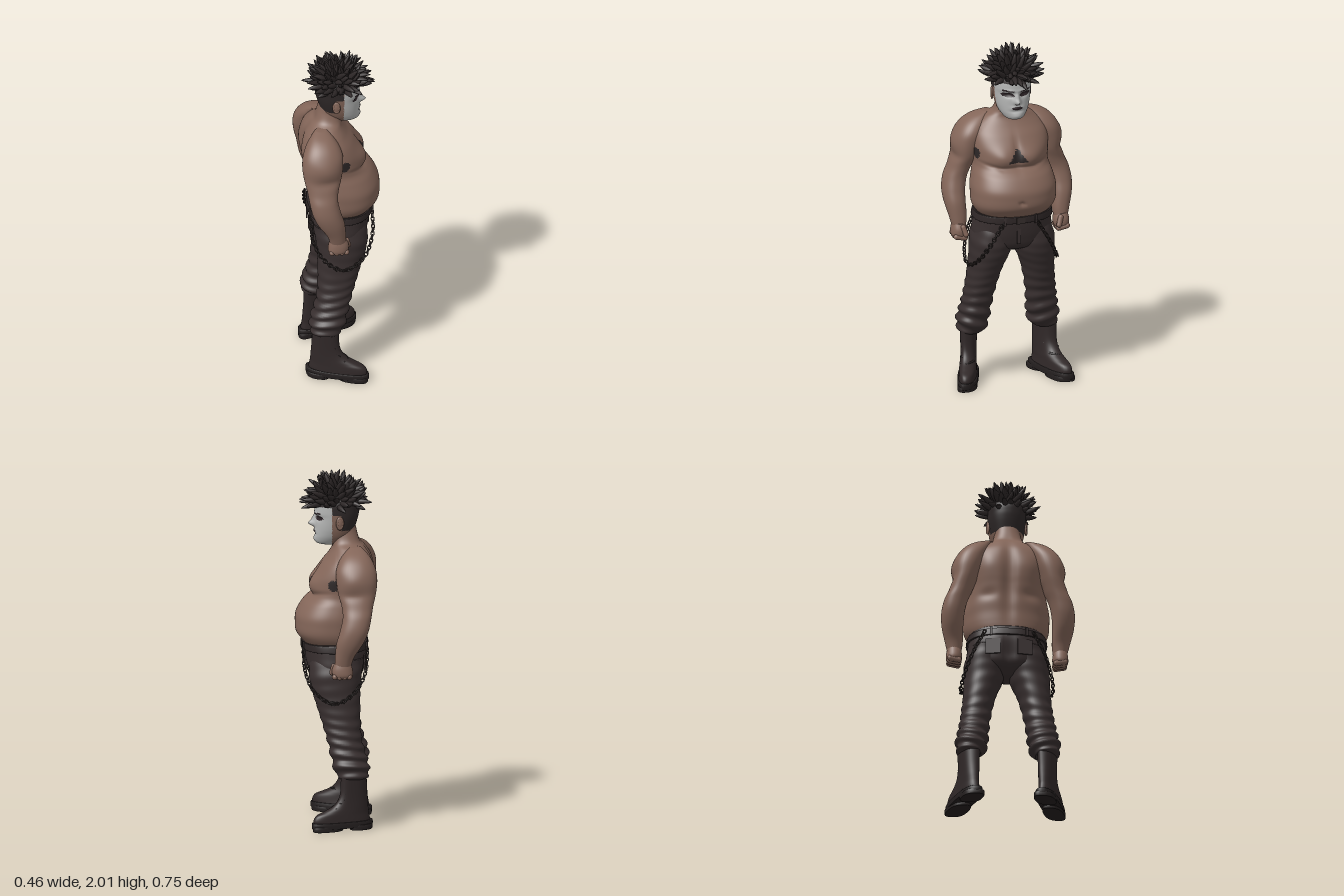
import * as THREE from 'three';
import { mergeGeometries } from 'three/addons/utils/BufferGeometryUtils.js';

const mat = (name, color) => { const m = new THREE.MeshStandardMaterial({ color }); m.name = name; return m; };
const M = {
  skin: mat('skin', 0x846659), face: mat('white face paint', 0xb4b5b4), paint: mat('dark paint', 0x2a2124),
  hair: mat('hair', 0x2d2727), trousers: mat('trousers', 0x382f2f), leather: mat('boot leather', 0x302828),
  sole: mat('sole', 0x241f1f), chain: mat('chain', 0x342c2a),
};
const bump = (...t) => Math.exp(-t.reduce((s, v) => s + v * v, 0));
let seed = 7;
const rnd = () => (seed = (seed * 16807) % 2147483647) / 2147483647;

// Smooth body through rows of [y, xBack, xFront, zMin, zMax]; pick() sorts faces into material groups
function loft(rows, { n = 40, steps = 6, p = 2.2, deform, pick } = {}) {
  const pos = [], tris = [], last = rows.length - 1, count = last * steps + 1;
  const at = (i, k) => rows[Math.min(last, Math.max(0, i))][k];
  const spow = (v) => Math.sign(v) * Math.abs(v) ** (2 / p);
  const v = new THREE.Vector3();
  for (let i = 0; i < count; i++) {
    const s = Math.min(last - 1, Math.floor(i / steps)), t = i / steps - s;
    const [y, xb, xf, z0, z1] = [0, 1, 2, 3, 4].map((k) => {
      const a = at(s - 1, k), b = at(s, k), c = at(s + 1, k), d = at(s + 2, k);
      return b + 0.5 * t * (c - a + t * (2 * a - 5 * b + 4 * c - d + t * (3 * (b - c) + d - a)));
    });
    for (let j = 0; j < n; j++) {
      const a = (j / n) * Math.PI * 2;
      v.set((xb + xf) / 2 + (xf - xb) / 2 * spow(Math.cos(a)), y, (z0 + z1) / 2 + (z1 - z0) / 2 * spow(Math.sin(a)));
      if (deform) deform(v, a);
      pos.push(v.x, v.y, v.z);
    }
  }
  for (let i = 0; i < count - 1; i++) for (let j = 0; j < n; j++) {
    const k = (j + 1) % n, a = i * n + j, b = a + n, c = (i + 1) * n + k, d = i * n + k;
    tris.push([a, b, c], [a, c, d]);
  }
  for (const i of [0, count - 1]) { // end caps
    const m = pos.length / 3, c = [0, 0, 0];
    for (let j = 0; j < n; j++) for (let q = 0; q < 3; q++) c[q] += pos[(i * n + j) * 3 + q] / n;
    pos.push(...c);
    for (let j = 0; j < n; j++) { const a = i * n + j, b = i * n + (j + 1) % n; tris.push(i ? [m, b, a] : [m, a, b]); }
  }
  const g = new THREE.BufferGeometry(), bins = [];
  for (const t of tris) {
    const c = [0, 1, 2].map((q) => (pos[t[0] * 3 + q] + pos[t[1] * 3 + q] + pos[t[2] * 3 + q]) / 3);
    (bins[pick ? pick(...c) : 0] ??= []).push(...t);
  }
  let start = 0;
  if (pick) bins.forEach((b, i) => { g.addGroup(start, b.length, i); start += b.length; });
  g.setIndex(bins.flat());
  g.setAttribute('position', new THREE.Float32BufferAttribute(pos, 3));
  g.computeVertexNormals();
  return g;
}

function mirror(geo) {
  const g = geo.clone(), ix = g.index.array;
  for (const name of ['position', 'normal']) {
    const a = g.attributes[name];
    for (let i = 0; i < a.count; i++) a.setZ(i, -a.getZ(i));
  }
  for (let i = 0; i < ix.length; i += 3) [ix[i], ix[i + 1]] = [ix[i + 1], ix[i]];
  return g;
}

export function createModel() {
  const root = new THREE.Group();
  const add = (name, geo, material) => { const m = new THREE.Mesh(geo, material); m.name = name; root.add(m); return m; };
  const pair = (name, geo, material) => { add('left ' + name, mirror(geo), material); add('right ' + name, geo, material); };
  const sym = (rows) => rows.map(([y, b, f, h]) => [y, b, f, -h, h]);

  // Torso and neck, with chest and armpit hair
  add('torso', loft(sym([
    [1.02, -.15, .165, .19], [1.06, -.16, .2, .222], [1.1, -.165, .226, .238], [1.15, -.17, .23, .241],
    [1.2, -.18, .224, .24], [1.26, -.19, .19, .226], [1.31, -.2, .143, .213], [1.36, -.21, .135, .215],
    [1.42, -.215, .12, .22], [1.48, -.21, .085, .215], [1.53, -.195, .045, .19], [1.575, -.165, .02, .14],
    [1.605, -.138, .022, .095], [1.65, -.122, .03, .076], [1.7, -.11, .03, .07],
  ]), {
    n: 112, steps: 7, p: 2.25,
    deform(v) {
      const az = Math.abs(v.z), y = v.y;
      if (v.x > 0) {
        v.x += .024 * bump((y - 1.375) / .05, (az - .085) / .07) - .012 * bump(v.z / .015, (y - 1.4) / .07);
        v.x -= .014 * bump((y - 1.312 - .25 * Math.max(0, az - .09)) / .012, az / .2);
        v.x -= .016 * bump(v.z / .012, (y - 1.13) / .012);
      } else {
        v.x += .026 * bump(v.z / .035, (y - 1.33) / .2) + .01 * bump((az - .12) / .05, (y - 1.25) / .03);
        v.x -= .012 * bump((az - .12) / .06, (y - 1.42) / .08);
      }
    },
    pick: (x, y, z) => (x > .05 && y > 1.345 && Math.abs(z) < .055 * (1.428 - y) / .08)
      || (Math.abs(z) > .12 && Math.hypot((x - .015) / .03, (y - 1.385) / .032) < 1) ? 1 : 0,
  }), [M.skin, M.hair]);

  // Arms
  pair('arm', loft([
    [.94, -.08, .01, .258, .335], [1, -.1, .008, .25, .35], [1.08, -.15, 0, .25, .37], [1.15, -.18, -.02, .245, .375],
    [1.22, -.195, -.035, .23, .361], [1.28, -.205, -.03, .205, .335], [1.35, -.221, -.01, .18, .316],
    [1.42, -.229, 0, .15, .313], [1.48, -.222, 0, .13, .296], [1.53, -.2, -.02, .11, .262],
    [1.567, -.17, -.05, .1, .21], [1.59, -.14, -.08, .09, .14],
  ], {
    n: 40, deform(v) {
      v.z += .008 * bump((v.y - 1.43) / .05, (v.x + .1) / .06) - .008 * bump((v.y - 1.345) / .025, (v.x + .08) / .08);
    },
  }), M.skin);

  // Fists: palm, four curled fingers and a thumb
  const fist = [loft([[.875, -.075, .01, .27, .325], [.895, -.092, .022, .256, .342], [.93, -.09, .024, .254, .342], [.965, -.08, .01, .262, .335]], { n: 24 })];
  const finger = (r, len, x, y, z, rx, rz) => {
    const g = new THREE.CapsuleGeometry(r, len, 4, 10).rotateX(rx).rotateZ(rz).translate(x, y, z);
    g.deleteAttribute('uv');
    fist.push(g);
  };
  for (let i = 0; i < 4; i++) finger(.0165, .05, -.072 + i * .027, .886 - .003 * Math.sin(i), .298, Math.PI / 2 - .2, 0);
  finger(.015, .045, .02, .925, .278, .3, .25);
  pair('fist', mergeGeometries(fist), M.skin);

  // Head with painted face: 0 skin, 1 face, 2 hair, 3 dark paint
  add('head', loft(sym([
    [1.588, -.01, .09, .035], [1.6, -.04, .112, .056], [1.63, -.08, .119, .078], [1.665, -.1, .117, .092],
    [1.7, -.112, .115, .1], [1.745, -.125, .112, .106], [1.785, -.132, .119, .108], [1.83, -.13, .11, .106],
    [1.87, -.1, .085, .085], [1.895, -.05, .04, .045],
  ]), {
    n: 120, steps: 8, p: 2.25,
    deform(v) {
      if (v.x < .02) return;
      const az = Math.abs(v.z), y = v.y;
      v.x += .036 * bump(az / .016, (y - 1.703) / .016) + .022 * bump(az / .013, (y - 1.732) / .024);
      v.x -= .014 * bump((az - .045) / .024, (y - 1.742) / .014);
      v.x += .008 * bump((az - .04) / .04, (y - 1.766) / .01) + .009 * bump(az / .028, (y - 1.665) / .011);
      v.x += .008 * bump(az / .03, (y - 1.615) / .016) - .006 * bump(az / .035, (y - 1.645) / .008);
    },
    pick(x, y, z) {
      const az = Math.abs(z);
      if (y > 1.81 || (x < .02 && y > 1.765) || (x < -.03 && y > 1.675)) return 2;
      if (x < .022) return 0;
      if (Math.hypot((az - .05) / .034, (y - 1.742 - .1 * (az - .05)) / .014) < 1) return 3; // eyes
      if (Math.abs(y - 1.767 - .15 * (az - .05)) < .005 && az > .018 && az < .08) return 3; // brows
      return Math.hypot(z / .031, (y - 1.664) / .01) < 1 || (Math.abs(az - .008) < .004 && Math.abs(y - 1.69) < .003) ? 3 : 1;
    },
  }), [M.skin, M.face, M.hair, M.paint]);
  const ear = new THREE.TorusGeometry(.7, .35, 8, 18).scale(.022, .038, .02);
  const lobe = new THREE.SphereGeometry(1, 14, 10).scale(.018, .032, .009);
  pair('ear', mergeGeometries([ear, lobe]).rotateY(-.25).translate(-.022, 1.722, .107), M.skin);

  // Spiky locks spread over a dome
  const locks = [], up = new THREE.Vector3(0, 1, 0), N = 105;
  const profile = [[.012, -.02], [.0165, .02], [.0165, .05], [.012, .08], [.006, .1], [0, .11]].map((q) => new THREE.Vector2(...q));
  for (let i = 0; i < N; i++) {
    const h = 1 - 1.14 * (i + .3) / N, a = i * 2.39996, r = Math.sqrt(1 - h * h);
    const g = new THREE.LatheGeometry(profile, 8), P = g.attributes.position, bend = (rnd() - .5) * 5, len = .82 + rnd() * .3;
    for (let k = 0; k < P.count; k++) { const y = P.getY(k); P.setXYZ(k, P.getX(k) + bend * y * y, y * len, P.getZ(k) + bend * .5 * y * y); }
    const dir = new THREE.Vector3(r * Math.cos(a), h, r * Math.sin(a));
    const base = new THREE.Vector3(dir.x * .088, 1.825 + dir.y * .068, dir.z * .075);
    dir.add(new THREE.Vector3((rnd() - .5) * .4, .12 + (rnd() - .5) * .3, (rnd() - .5) * .4)).normalize();
    g.applyQuaternion(new THREE.Quaternion().setFromUnitVectors(up, dir)).translate(base.x, base.y, base.z);
    g.computeVertexNormals();
    locks.push(g);
  }
  add('hair locks', mergeGeometries(locks), M.hair);

  // Trousers: seat and two creased legs
  const seat = sym([
    [.8, -.07, .06, .07], [.84, -.14, .135, .19], [.9, -.16, .16, .226], [.97, -.172, .174, .221], [1.03, -.167, .18, .214], [1.06, -.16, .182, .212]]);
  add('trouser seat', loft(seat, { n: 56, p: 2.3, deform(v) { if (v.x < 0) v.x += .018 * bump(v.z / .025, (v.y - .9) / .09); } }), M.trousers);
  pair('trouser leg', loft([
    [.285, -.155, -.025, .15, .262], [.305, -.18, 0, .13, .284], [.36, -.183, .018, .115, .292], [.41, -.17, .03, .11, .283],
    [.5, -.145, .05, .1, .268], [.6, -.135, .08, .082, .254], [.7, -.135, .112, .056, .245],
    [.8, -.135, .143, .016, .242], [.88, -.145, .152, .004, .238], [.96, -.15, .14, .01, .212],
  ], {
    n: 48, steps: 10, deform(v, a) {
      const k = .0075 * Math.max(.15, Math.min(1, (.72 - v.y) * 3)) * Math.sin(v.y * 95 + 2.2 * Math.sin(a + v.y * 9));
      v.x += k * Math.cos(a); v.z += k * Math.sin(a);
    },
  }), M.trousers);

  // Belt, buckle, belt loops, fly and pocket flaps
  add('belt', loft(sym([[1, -.178, .184, .225], [1.004, -.181, .189, .228], [1.036, -.177, .191, .223], [1.04, -.172, .187, .219]]), { n: 64, p: 2.3 }), M.leather);
  const box = (w, h, d, x, y, z, ry = 0) => new THREE.BoxGeometry(w, h, d).rotateY(ry).translate(x, y, z);
  add('buckle', box(.012, .04, .05, .19, 1.02, 0), M.chain);
  add('fly', box(.012, .12, .02, .167, .935, .006), M.trousers);
  pair('belt loops', mergeGeometries([box(.012, .052, .014, .182, 1.02, .09, -.2), box(.012, .052, .014, -.172, 1.02, .1, .2)]), M.trousers);
  pair('back pocket', box(.008, .09, .085, -.164, .93, .09, .15), M.trousers);

  // Hanging chains
  const curve = new THREE.CatmullRomCurve3([
    [.18, 1, .1], [.176, .9, .16], [.12, .78, .225], [.01, .722, .258], [-.09, .77, .248], [-.16, .88, .205], [-.175, 1.01, .14],
  ].map((q) => new THREE.Vector3(...q)));
  const links = [];
  for (let i = 0; i < 40; i++) {
    const g = new THREE.TorusGeometry(.0095, .0035, 6, 12).scale(1.35, 1, 1).rotateX(i % 2 ? Math.PI / 2 : 0);
    const q = new THREE.Quaternion().setFromUnitVectors(new THREE.Vector3(1, 0, 0), curve.getTangentAt(i / 39));
    const c = curve.getPointAt(i / 39);
    links.push(g.applyQuaternion(q).translate(c.x, c.y, c.z));
  }
  pair('chain', mergeGeometries(links), M.chain);

  // Boots, toes turned out
  const turn = (v) => { v.z += (v.x + .1) * .34; };
  pair('boot', loft([
    [.04, -.19, .126, .165, .275], [.065, -.187, .128, .168, .274], [.09, -.182, .112, .17, .272], [.11, -.18, .07, .171, .27],
    [.135, -.178, .022, .173, .268], [.17, -.175, -.008, .173, .267], [.22, -.172, -.022, .172, .268], [.31, -.17, -.025, .168, .272],
  ], { n: 40, p: 2.4, deform: turn }), M.leather);
  const slab = (y0, y1, x0, x1, z0, z1) => loft([[y0, x0 + .004, x1 - .004, z0, z1], [y0 + .004, x0, x1, z0, z1], [y1 - .004, x0, x1, z0, z1], [y1, x0 + .006, x1 - .006, z0 + .006, z1 - .006]], { n: 40, steps: 2, p: 2.7, deform: turn });
  pair('sole', mergeGeometries([
    slab(.016, .05, -.204, .137, .158, .281), slab(0, .03, -.203, -.075, .16, .278), slab(0, .03, -.04, .132, .162, .278)]), M.sole);

  // Laces across the boot front
  const laces = [];
  for (let i = 0; i < 7; i++) {
    const y = .13 + i * .024, x = [.038, .008, -.005, -.012, -.016, -.018, -.019][i];
    const c = new THREE.QuadraticBezierCurve3(...[[-.04, -.036], [.012, 0], [-.04, .036]].map(([dx, dz]) =>
      new THREE.Vector3(x + dx, y + (i % 2 ? dz : -dz) * .15, .222 + dz + (x + dx + .1) * .34)));
    laces.push(new THREE.TubeGeometry(c, 8, .006, 6));
  }
  pair('laces', mergeGeometries(laces), M.sole);

  return root;
}
